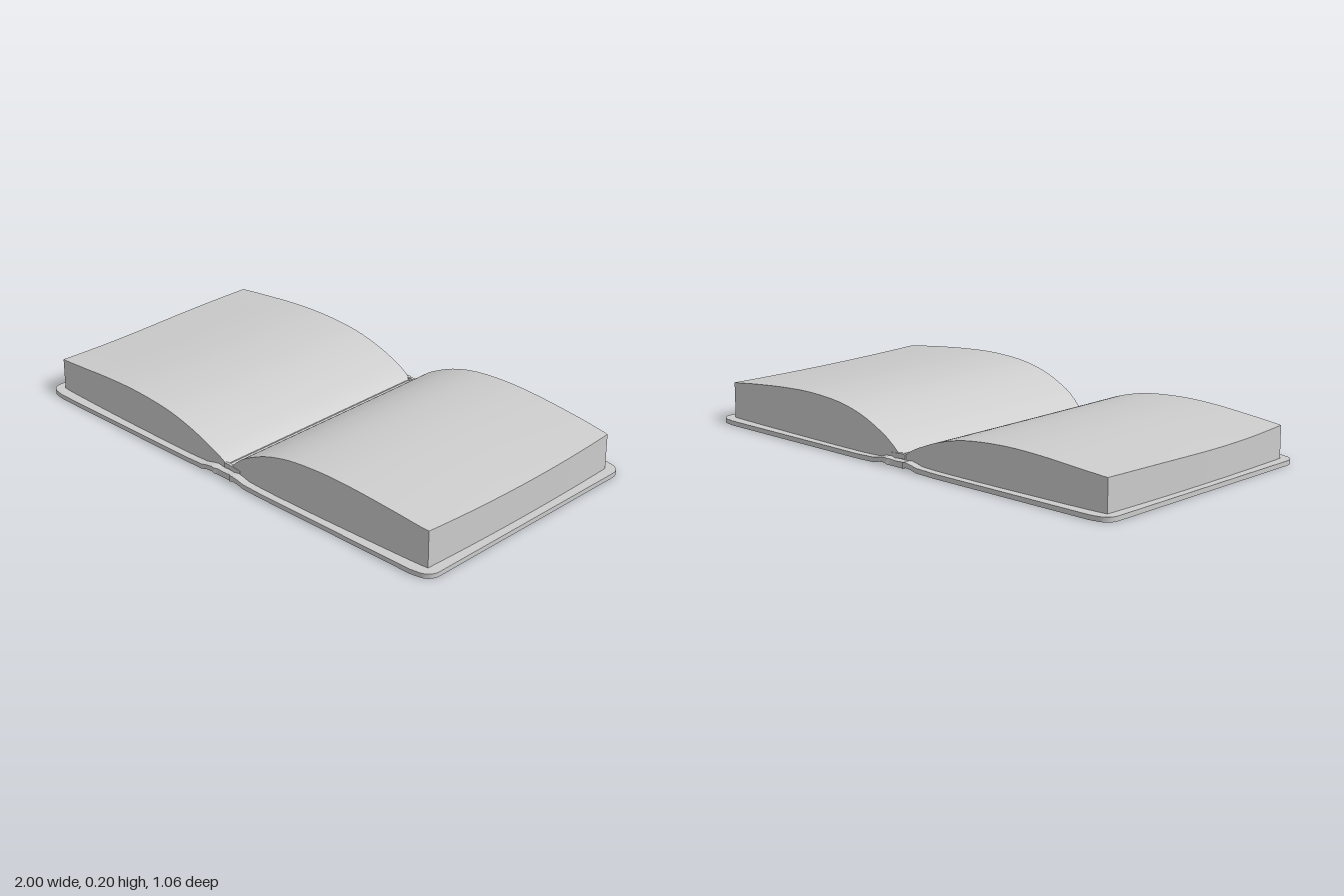
import * as THREE from 'three';

const grey = new THREE.MeshStandardMaterial({ color: 0xcccccc });
grey.name = 'plainGrey';

// Box whose vertices are moved by rule(u 0..1, v -1..1, isTop) -> [x, y, z]
function shapedBox(name, nx, nz, rule) {
  const geo = new THREE.BoxGeometry(1, 1, 1, nx, 1, nz);
  const p = geo.attributes.position;
  for (let i = 0; i < p.count; i++) {
    p.setXYZ(i, ...rule(p.getX(i) + 0.5, p.getZ(i) * 2, p.getY(i) > 0));
  }
  geo.computeVertexNormals();
  const mesh = new THREE.Mesh(geo, grey);
  mesh.name = name;
  return mesh;
}

// Page block following a top profile, from the gutter (u = 0) to the fore edge
function pageBlock(name, side, profile, wave) {
  const curve = new THREE.SplineCurve(profile.map(([x, y]) => new THREE.Vector2(x, y)));
  return shapedBox(name, 40, 16, (u, v, top) => {
    const t = side > 0 ? u : 1 - u;
    const c = curve.getPoint(t);
    const x = c.x + 0.01 * t * t * (1 - v * v);
    const y = top ? c.y + wave(v) * t * t * t : Math.min(0.018 + 0.014 * Math.exp(-c.x * 16), c.y);
    const half = 0.482 + 0.018 * Math.pow(Math.sin(Math.PI * Math.min(1, 0.15 + 0.85 * t)), 0.7);
    return [side * x, y, v * half];
  });
}

export function createModel() {
  const book = new THREE.Group();
  book.name = 'openBook';

  // Cover: stations from the centre out as [x, bottom, top, half depth]
  const half = [
    [0, 0.004, 0.026, 0.522], [0.036, 0.004, 0.028, 0.522], [0.04, 0.006, 0.03, 0.53],
    [0.055, 0.012, 0.032, 0.53], [0.08, 0.01, 0.028, 0.53], [0.11, 0.002, 0.021, 0.53],
    [0.2, 0, 0.018, 0.53], [0.6, 0, 0.018, 0.53], [0.92, 0, 0.018, 0.53],
  ];
  for (let i = 1; i <= 6; i++) {
    const a = (i / 6) * Math.PI / 2;
    half.push([0.945 + 0.055 * Math.sin(a), 0, 0.018, 0.475 + 0.05 * Math.cos(a)]);
  }
  const mirrored = half.slice(1).reverse().map(([x, ...rest]) => [-x, ...rest]);
  const stations = [...mirrored, ...half];
  const n = stations.length - 1;
  book.add(shapedBox('cover', n, 4, (u, v, top) => {
    const [x, bottom, topY, depth] = stations[Math.round(u * n)];
    return [x, top ? topY : bottom, v * depth];
  }));

  // Two page blocks, the model's left one being thicker
  book.add(pageBlock('leftPages', 1, [
    [0.012, 0.042], [0.05, 0.078], [0.1, 0.112], [0.2, 0.157], [0.32, 0.186], [0.47, 0.197],
    [0.62, 0.193], [0.8, 0.178], [0.957, 0.16],
  ], (v) => -0.009 * (1 - v * v) - 0.001 * (1 - v)));
  book.add(pageBlock('rightPages', -1, [
    [0.014, 0.042], [0.05, 0.066], [0.1, 0.09], [0.2, 0.127], [0.33, 0.156], [0.5, 0.169],
    [0.66, 0.166], [0.82, 0.154], [0.96, 0.142],
  ], (v) => -0.008 * (1 - v * v) - 0.003 * Math.sin(Math.PI * v)));

  // Bound strip in the gutter
  const gutter = new THREE.Mesh(new THREE.BoxGeometry(0.036, 0.014, 0.98), grey);
  gutter.name = 'gutterStrip';
  gutter.position.set(-0.001, 0.031, 0);
  book.add(gutter);

  // Small bands at the head and tail of the spine
  for (const s of [-1, 1]) {
    const band = shapedBox(s > 0 ? 'tailBand' : 'headBand', 8, 1, (u, v, top) => {
      const x = -0.02 + 0.08 * u;
      return [x, (top ? 0.049 : 0.03) - 0.16 * Math.abs(x) ** 1.2, s * 0.492 + v * 0.006];
    });
    book.add(band);
  }
  return book;
}
